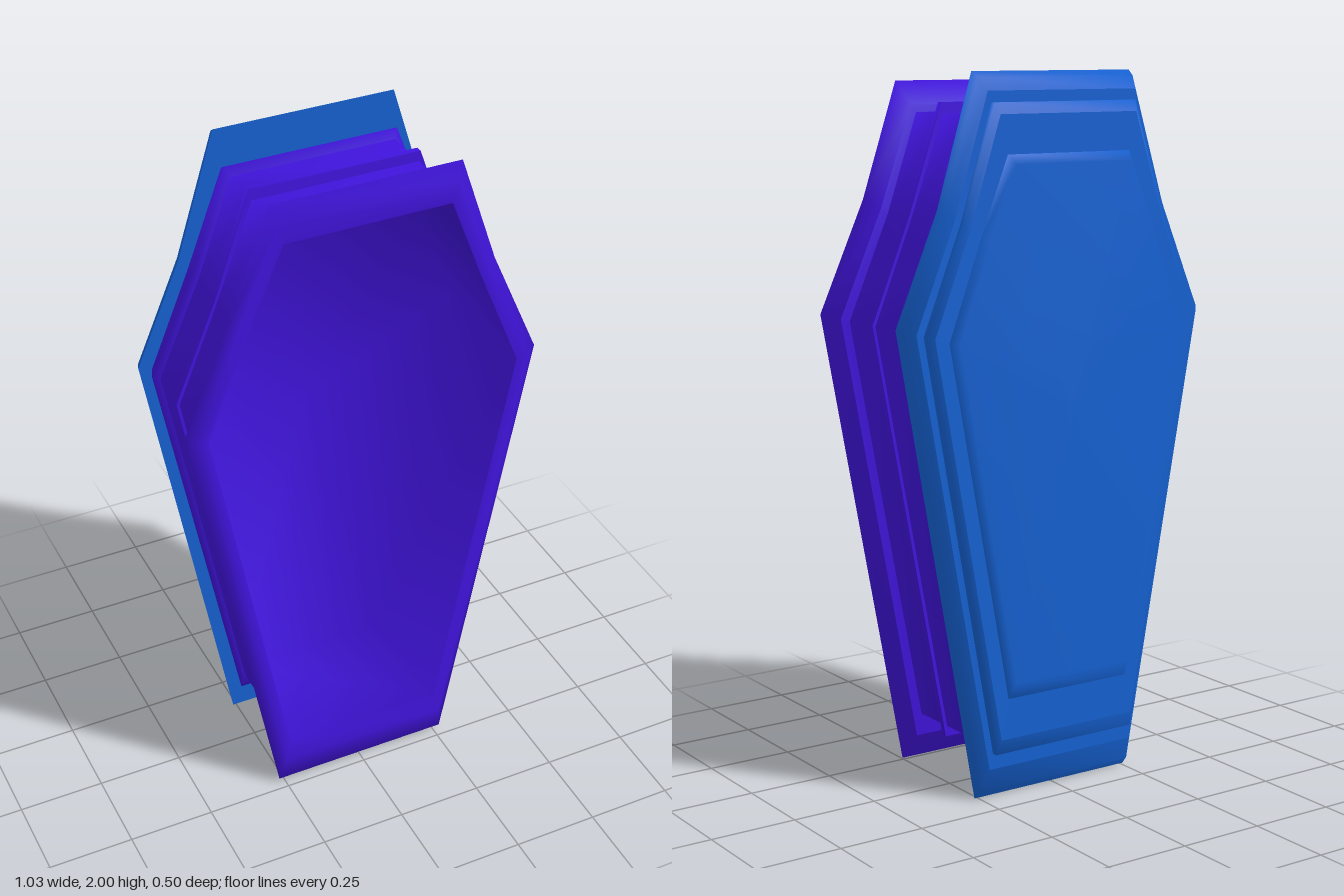
import * as THREE from 'three';
import { mergeGeometries } from 'three/addons/utils/BufferGeometryUtils.js';

const SIDES = 8;

// Coffin outline, counter-clockwise from the front.
// w: half width at the shoulder, y0/y1: bottom and top, kink: z shift of the upper arm vertex
function ring([w, y0, y1, z, kink = 0]) {
  const s = w / 0.52, inset = 0.52 - w;
  const half = [
    [0.27 * s, y0, z],
    [w, 1.34 - inset * 0.3, z],
    [0.385 * s, 1.65 - inset * 0.6, z + kink],
    [0.27 * s, y1, z],
  ];
  return [...half, ...half.map(([x, y, d]) => [-x, y, d]).reverse()];
}

// One smooth strip through consecutive outlines, optionally closed by a front or back cap
function strip(profiles, cap) {
  const pos = profiles.flatMap(ring).flat();
  const index = [];
  const count = profiles.length;
  for (let i = 0; i < SIDES; i++) {
    const j = (i + 1) % SIDES;
    for (let r = 0; r + 1 < count; r++) {
      const a = r * SIDES, b = a + SIDES;
      index.push(a + i, b + i, b + j, a + i, b + j, a + j);
    }
    const last = (count - 1) * SIDES, centre = count * SIDES;
    if (cap === 'front') index.push(centre, i, j);
    if (cap === 'back') index.push(centre, last + j, last + i);
  }
  if (cap) pos.push(0, 1.1, profiles[cap === 'front' ? 0 : count - 1][3]);
  const geo = new THREE.BufferGeometry();
  geo.setAttribute('position', new THREE.Float32BufferAttribute(pos, 3));
  geo.setIndex(index);
  geo.computeVertexNormals();
  return geo;
}

// Hard-edged run: every pair of neighbouring outlines is its own strip
const stepped = (profiles) => profiles.slice(1).map((p, i) => strip([profiles[i], p]));

export function createModel() {
  const group = new THREE.Group();
  const add = (name, color, strips) => {
    const mesh = new THREE.Mesh(mergeGeometries(strips), new THREE.MeshStandardMaterial({ color }));
    mesh.name = name;
    group.add(mesh);
  };

  // Open box: thin-walled hollow, front flange, straight walls, raised band, back flange
  const mouth = [0.455, 0.165, 1.86, 0.24, -0.012];
  const flangeBack = [0.483, 0.095, 1.905, 0.172, -0.012];
  const boxBack = [0.46, 0.14, 1.885, -0.143];
  add('coffinBox', 0x4014dc, [
    strip([[0.455, 0.165, 1.86, -0.137], mouth], 'front'),
    strip([
      mouth,
      [0.485, 0.105, 1.925, 0.248, -0.016],
      [0.517, 0.015, 1.97, 0.225, -0.01],
      flangeBack,
    ]),
    ...stepped([
      flangeBack,
      [0.458, 0.16, 1.885, 0.167, -0.012],
      [0.458, 0.16, 1.885, 0.048],
      [0.467, 0.13, 1.915, 0.048],
      [0.467, 0.13, 1.915, 0.03],
      [0.458, 0.16, 1.885, 0.03],
      [0.458, 0.16, 1.885, -0.088, 0.01],
    ]),
    strip([[0.458, 0.16, 1.885, -0.088, 0.01], [0.478, 0.11, 1.912, -0.098, 0.012], boxBack]),
    strip([boxBack], 'back'),
  ]);

  // Lid: three bevelled tiers stepping back
  const lidFront = [0.5, 0, 2.0, -0.142];
  const tier1 = [0.468, 0.095, 1.95, -0.194];
  const tier2 = [0.446, 0.14, 1.92, -0.194];
  const tier2Back = [0.43, 0.185, 1.89, -0.225];
  const tier3 = [0.386, 0.3, 1.785, -0.225];
  add('coffinLid', 0x1560d0, [
    strip([lidFront], 'front'),
    strip([lidFront, [0.492, 0.025, 1.985, -0.165], tier1]),
    strip([tier1, tier2]),
    strip([tier2, [0.446, 0.14, 1.92, -0.21], tier2Back]),
    strip([tier2Back, tier3]),
    strip([tier3, [0.368, 0.35, 1.76, -0.25]], 'back'),
  ]);

  return group;
}
